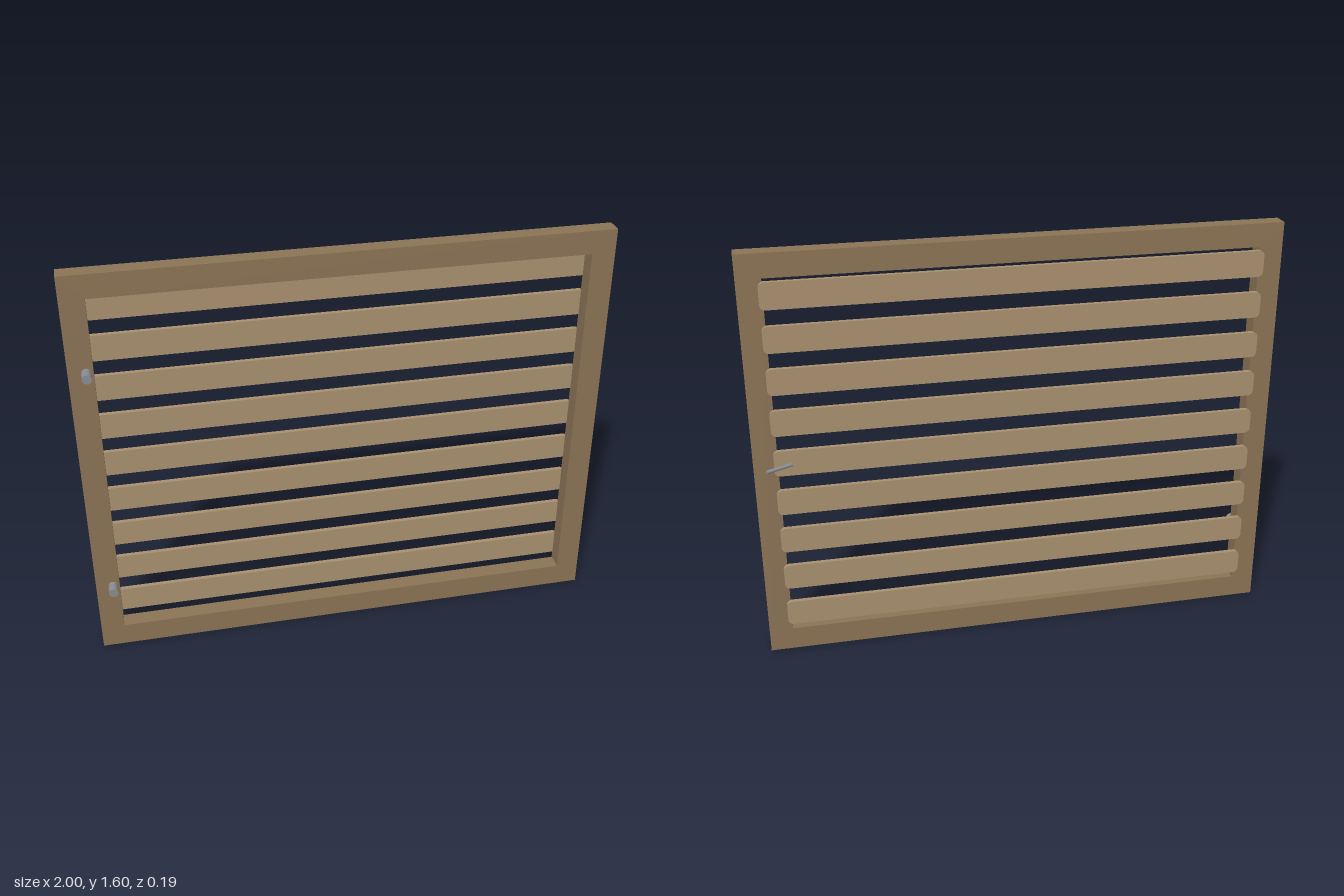
import * as THREE from 'three';

const frameMat = new THREE.MeshStandardMaterial({ color: 0x8b7355 });
const slatMat = new THREE.MeshStandardMaterial({ color: 0xa88f6f });
const metalMat = new THREE.MeshStandardMaterial({ color: 0x888c90 });

function add(group, name, geometry, material) {
  const mesh = new THREE.Mesh(geometry, material);
  mesh.name = name;
  group.add(mesh);
  return mesh;
}

// Rectangle centred on the origin with rounded corners
function roundedRect(w, h, r) {
  const x = w / 2, y = h / 2;
  const s = new THREE.Shape();
  s.moveTo(-x + r, -y);
  s.lineTo(x - r, -y);
  s.absarc(x - r, -y + r, r, -Math.PI / 2, 0);
  s.lineTo(x, y - r);
  s.absarc(x - r, y - r, r, 0, Math.PI / 2);
  s.lineTo(-x + r, y);
  s.absarc(-x + r, y - r, r, Math.PI / 2, Math.PI);
  s.lineTo(-x, -y + r);
  s.absarc(-x + r, -y + r, r, Math.PI, Math.PI * 1.5);
  return s;
}

// Cylinder running between two points
function rod(group, name, from, to, radius) {
  const dir = to.clone().sub(from);
  const mesh = add(group, name, new THREE.CylinderGeometry(radius, radius, dir.length(), 20), metalMat);
  mesh.position.copy(from).add(to).multiplyScalar(0.5);
  mesh.quaternion.setFromUnitVectors(new THREE.Vector3(0, 1, 0), dir.normalize());
}

export function createModel() {
  const model = new THREE.Group();
  model.name = 'louveredShutter';
  const back = -0.03, front = 0.035;

  // Outer frame with a rectangular opening
  const outline = new THREE.Shape();
  outline.moveTo(-1, 0).lineTo(1, 0).lineTo(1, 1.6).lineTo(-1, 1.6).closePath();
  const opening = new THREE.Path();
  opening.moveTo(-0.91, 0.09).lineTo(-0.91, 1.51).lineTo(0.91, 1.51).lineTo(0.91, 0.09).closePath();
  outline.holes.push(opening);
  const frameGeo = new THREE.ExtrudeGeometry(outline, { depth: front - back, bevelEnabled: false });
  add(model, 'frame', frameGeo, frameMat).position.z = back;

  // Nine slats fixed across the back of the opening
  const slatGeo = new THREE.ExtrudeGeometry(roundedRect(1.85, 0.1, 0.02), {
    depth: 0.018, bevelEnabled: false, curveSegments: 6,
  });
  for (let i = 0; i < 9; i++) {
    add(model, 'slat', slatGeo, slatMat).position.set(0, 0.17 + i * 0.16, -0.046);
  }

  // Hinge pins in front of the right stile
  for (const y of [0.303, 1.236]) {
    rod(model, 'hingePin', new THREE.Vector3(-0.935, y, 0.047), new THREE.Vector3(-0.935, y, 0.097), 0.018);
  }

  // Slanted latch handle on the back
  rod(model, 'latchHandle', new THREE.Vector3(0.86, 0.803, -0.042), new THREE.Vector3(0.953, 0.803, -0.09), 0.007);

  return model;
}
